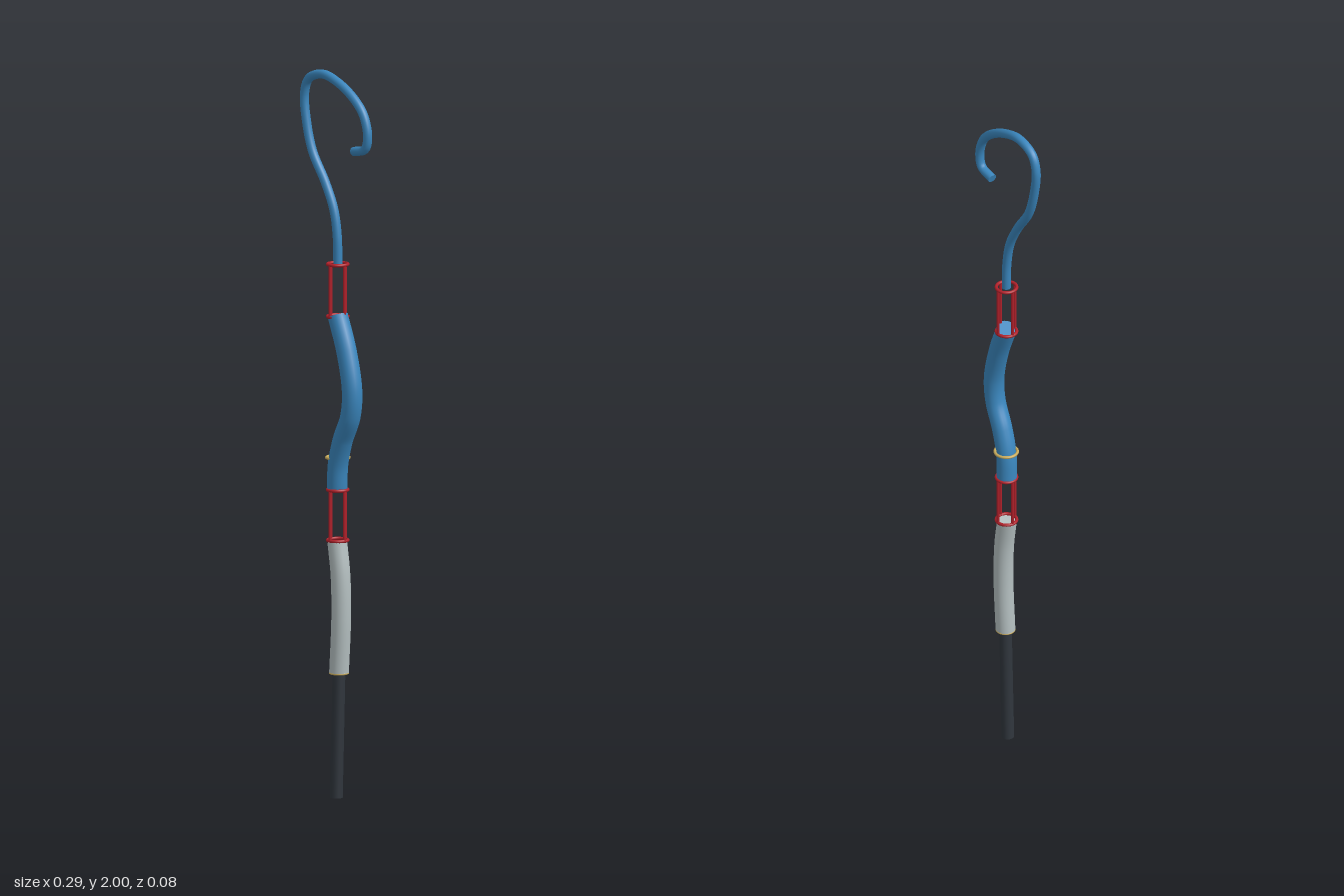
import * as THREE from 'three';

const mat = (color) => new THREE.MeshStandardMaterial({ color });
const Z = -0.003; // depth of the common axis

export function createModel() {
  const model = new THREE.Group();
  const blue = mat(0x3a86bd), red = mat(0xb0202a), gold = mat(0xc9ac5c);
  const pale = mat(0xb4bfc0), dark = mat(0x30363d);

  const add = (parent, name, geometry, material, x = 0, y = 0, z = 0) => {
    const mesh = new THREE.Mesh(geometry, material);
    mesh.name = name;
    mesh.position.set(x, y, z);
    parent.add(mesh);
    return mesh;
  };

  // Bent rod along [x, y, z] points, closed by a flat disc at each end
  const rod = (name, points, radius, material, steps, sides = 20) => {
    const group = new THREE.Group();
    group.name = name;
    const curve = new THREE.CatmullRomCurve3(points.map((p) => new THREE.Vector3(...p)), false, 'centripetal');
    add(group, name + 'Tube', new THREE.TubeGeometry(curve, steps, radius, sides), material);
    for (const [t, dir] of [[0, -1], [1, 1]]) {
      const cap = add(group, name + 'Cap', new THREE.CircleGeometry(radius, sides), material);
      cap.position.copy(curve.getPointAt(t));
      cap.quaternion.setFromUnitVectors(new THREE.Vector3(0, 0, 1), curve.getTangentAt(t).multiplyScalar(dir));
    }
    model.add(group);
  };

  const ring = (parent, name, radius, tube, material, x, y, z) => {
    add(parent, name, new THREE.TorusGeometry(radius, tube, 10, 32), material, x, y, z).rotation.x = Math.PI / 2;
  };

  // Open connector: two rings joined by four thin bars
  const cage = (name, bottom, top) => {
    const group = new THREE.Group();
    group.name = name;
    group.position.set(0.006, 0, Z);
    for (const y of [bottom, top]) ring(group, 'cageRing', 0.028, 0.0045, red, 0, y, 0);
    for (let i = 0; i < 4; i++) {
      const a = (i * Math.PI) / 2;
      add(group, 'cageBar', new THREE.CylinderGeometry(0.004, 0.004, top - bottom, 8), red,
        0.028 * Math.cos(a), (bottom + top) / 2, 0.028 * Math.sin(a));
    }
    model.add(group);
  };

  // Curled hook at the top
  const hook = [
    [0.007, 1.47], [0.004, 1.55], [-0.01, 1.62], [-0.045, 1.69], [-0.098, 1.77],
    [-0.123, 1.85], [-0.131, 1.925], [-0.113, 1.968], [-0.055, 1.987], [0.01, 1.971],
    [0.075, 1.934], [0.113, 1.895], [0.13, 1.84], [0.12, 1.803], [0.072, 1.79],
  ].map(([x, y]) => [x, y, Z]);
  rod('hook', hook, 0.0125, blue, 120, 16);

  cage('upperCage', 0.708 + 0.619, 1.471);

  // Bowed blue handle
  rod('handle', [
    [0.01, 1.33, 0], [0.05, 1.235, 0.003], [0.076, 1.13, 0.006], [0.069, 1.06, 0.006],
    [0.034, 0.99, 0.003], [0.011, 0.92, 0], [0.004, 0.85, Z],
  ], 0.028, blue, 60);
  ring(model, 'handleRing', 0.031, 0.004, gold, 0.002, 0.937, -0.007);

  cage('lowerCage', 0.71, 0.849);

  // Pale curved sleeve with a trim ring on its lower end
  rod('sleeve', [
    [0.008, 0.705, 0], [0.021, 0.616, 0], [0.024, 0.5, 0], [0.015, 0.345, 0],
  ], 0.027, pale, 40);
  ring(model, 'sleeveTrim', 0.0245, 0.003, gold, 0.015, 0.345, 0);

  // Dark leg
  rod('leg', [[0.004, 0.0005, 0], [0.015, 0.35, 0]], 0.0175, dark, 4, 16);

  return model;
}
